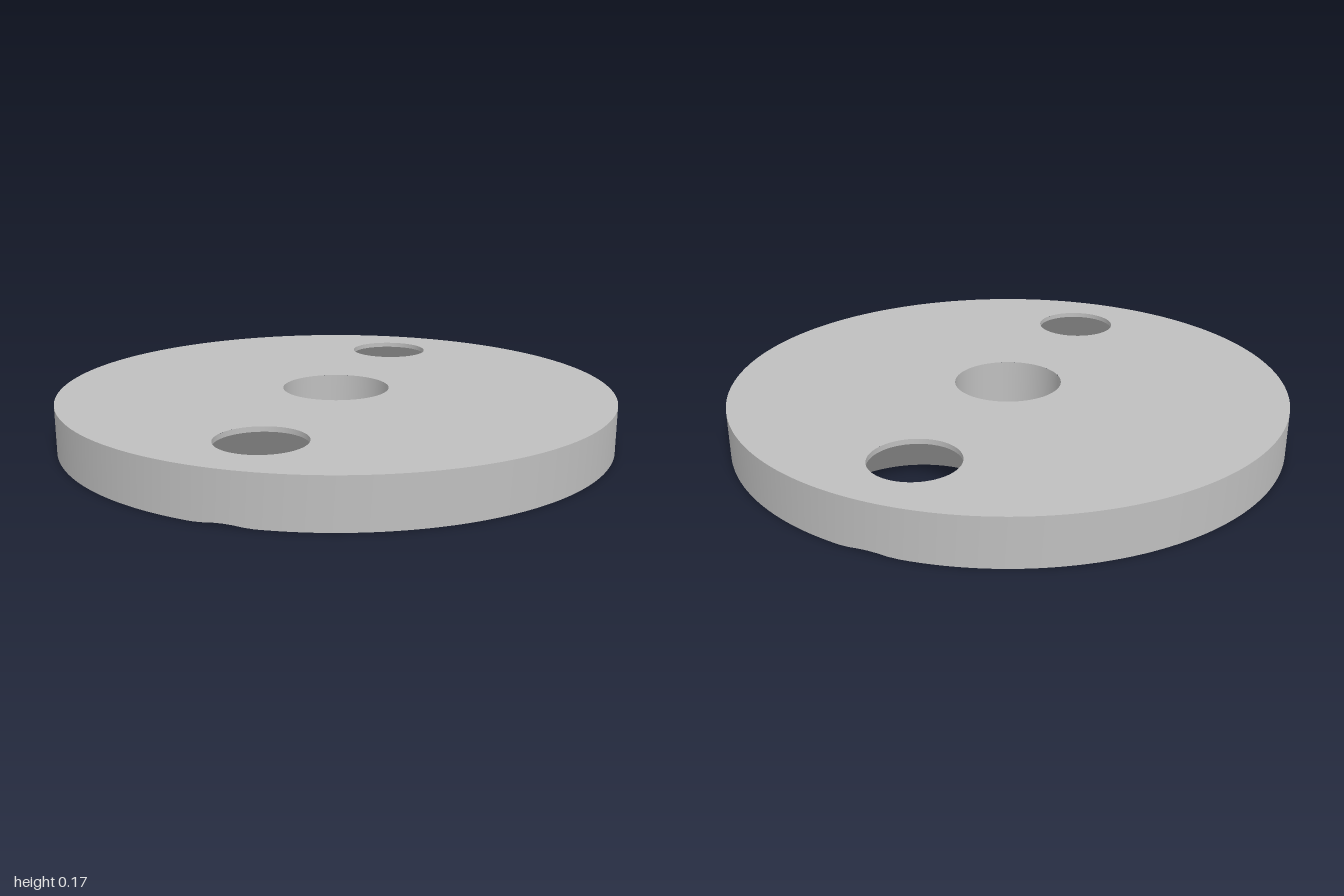
import * as THREE from 'three';

const H = 0.168;          // disc thickness
const BORE = 0.193;       // centre hole radius
const HOLE = 0.15;        // screw hole radius
const SINK = 0.3;         // countersink radius at the underside
const PITCH = 0.707;      // screw hole distance from the centre
const LIP = SINK - HOLE;  // 45 degree countersink ends at this height
const TAU = Math.PI * 2;

// Closed wall between two rings given as functions of angle; inward walls run backwards
function wall(lower, upper, n, inward) {
  const pos = [], index = [];
  for (let i = 0; i < n; i++) {
    const a = (inward ? -1 : 1) * i / n * TAU;
    pos.push(...lower(a), ...upper(a));
    const l0 = 2 * i, u0 = l0 + 1, l1 = 2 * ((i + 1) % n), u1 = l1 + 1;
    index.push(l0, u0, l1, u0, u1, l1);
  }
  const g = new THREE.BufferGeometry();
  g.setAttribute('position', new THREE.Float32BufferAttribute(pos, 3));
  g.setIndex(index);
  g.computeVertexNormals();
  return g;
}

const ring = (r, y, zc = 0) => a => [r * Math.cos(a), y, zc + r * Math.sin(a)];

function circleHole(r, yc = 0) {
  return new THREE.Path().absarc(0, yc, r, 0, TAU, false);
}

export function createModel() {
  const group = new THREE.Group();
  const metal = new THREE.MeshStandardMaterial({ color: 0xbfbfbf });
  metal.name = 'grey metal';
  const add = (name, geometry) => {
    const mesh = new THREE.Mesh(geometry, metal);
    mesh.name = name;
    group.add(mesh);
  };

  // Top face with three round holes
  const top = new THREE.Shape().absarc(0, 0, 1, 0, TAU, false);
  top.holes.push(circleHole(BORE), circleHole(HOLE, PITCH), circleHole(HOLE, -PITCH));
  add('topFace', new THREE.ShapeGeometry(top, 96).rotateX(-Math.PI / 2).translate(0, H, 0));

  // Underside: the countersinks bite slightly through the rim
  const zCross = (1 + PITCH ** 2 - SINK ** 2) / (2 * PITCH);
  const xCross = Math.sqrt(1 - zCross ** 2);
  const rimA = Math.atan2(zCross, xCross);
  const sinkA = Math.atan2(zCross - PITCH, xCross);
  const under = new THREE.Shape();
  under.absarc(0, 0, 1, -rimA, rimA, false);
  under.absarc(0, PITCH, SINK, sinkA, Math.PI - sinkA, true);
  under.absarc(0, 0, 1, Math.PI - rimA, Math.PI + rimA, false);
  under.absarc(0, -PITCH, SINK, Math.PI + sinkA, -sinkA, true);
  under.holes.push(circleHole(BORE));
  add('underside', new THREE.ShapeGeometry(under, 96).rotateX(Math.PI / 2));

  // Outer rim, notched where the countersinks meet it
  const rimLow = a => {
    const x = Math.cos(a), z = Math.sin(a);
    return [x, Math.max(0, SINK - Math.hypot(x, Math.abs(z) - PITCH)), z];
  };
  add('rim', wall(rimLow, ring(1, H), 192, false));

  // Centre bore
  add('centreBore', wall(ring(BORE, 0), ring(BORE, H), 96, true));

  // Countersunk screw holes: a cone below, a short straight lip above
  for (const [name, zc] of [['front', PITCH], ['back', -PITCH]]) {
    const coneLow = a => {
      const b = zc * Math.sin(a);
      const r = Math.min(SINK, -b + Math.sqrt(b * b + 1 - zc * zc));
      return ring(r, SINK - r, zc)(a);
    };
    add(name + 'Countersink', wall(coneLow, ring(HOLE, LIP, zc), 96, true));
    add(name + 'HoleLip', wall(ring(HOLE, LIP, zc), ring(HOLE, H, zc), 96, true));
  }
  return group;
}
